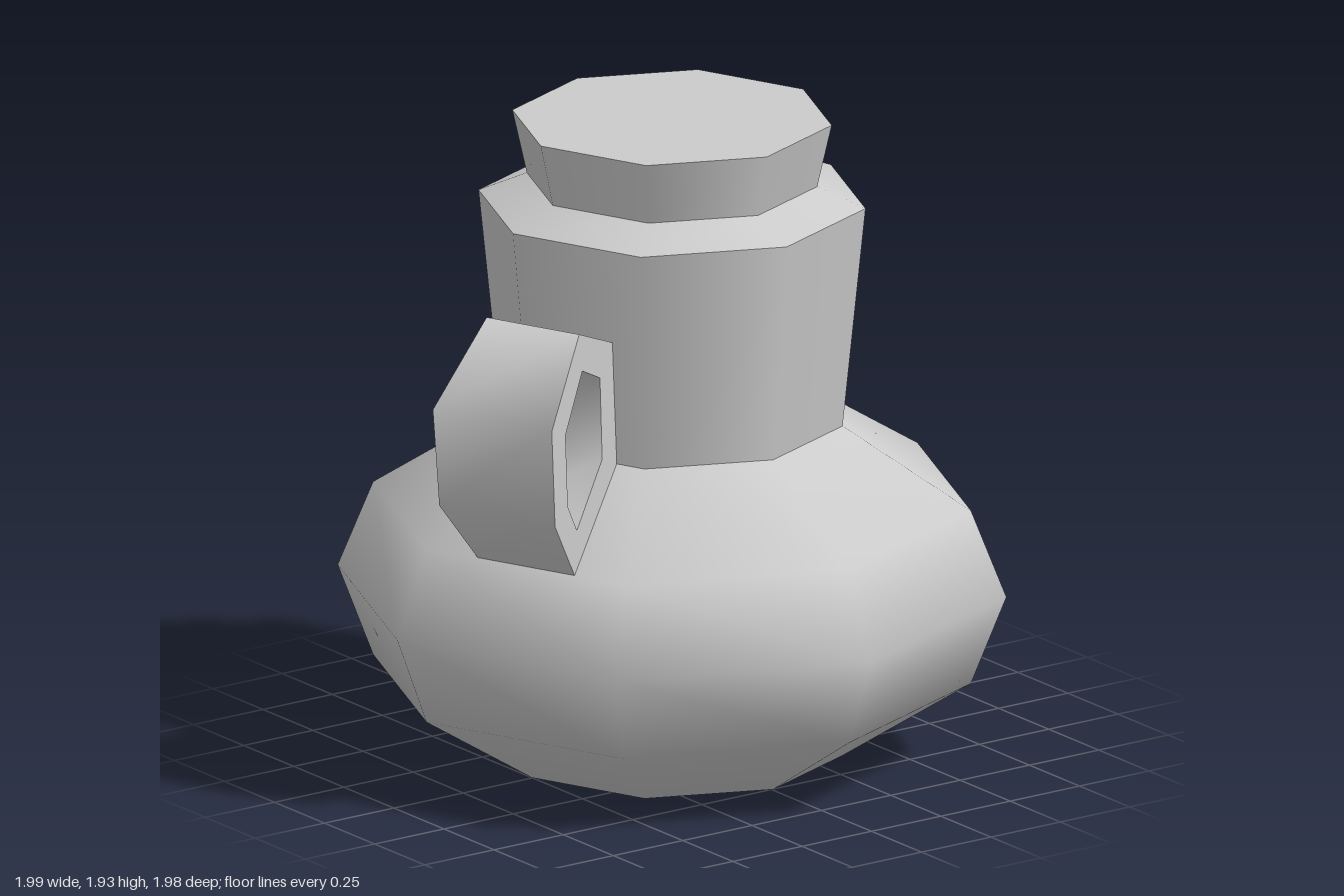
import * as THREE from 'three';
import { toCreasedNormals } from 'three/addons/utils/BufferGeometryUtils.js';

const SIDES = 8;
const v2 = (points) => points.map(([x, y]) => new THREE.Vector2(x, y));

export function createModel() {
  const model = new THREE.Group();
  const material = new THREE.MeshStandardMaterial({ color: 0xcccccc });

  const add = (name, geometry, parent) => {
    const mesh = new THREE.Mesh(geometry, material);
    mesh.name = name;
    parent.add(mesh);
    return mesh;
  };

  // Octagonal vessel, turned about its own axis
  const vessel = new THREE.Group();
  vessel.name = 'vessel';
  vessel.position.set(0.005, 0, -0.003);
  model.add(vessel);

  // Open or capped octagonal ring between two heights
  const ring = (name, rBottom, rTop, y0, y1, open) => {
    const geometry = new THREE.CylinderGeometry(rTop, rBottom, y1 - y0, SIDES, 1, open);
    add(name, geometry.translate(0, (y0 + y1) / 2, 0), vessel);
  };

  // Round belly with smooth shading
  const belly = v2([[0.505, 0], [0.885, 0.24], [0.99, 0.51], [0.885, 0.77], [0.505, 1.01]]);
  add('belly', new THREE.LatheGeometry(belly, SIDES), vessel);

  // Flat underside
  const base = new THREE.CircleGeometry(0.505, SIDES).rotateX(Math.PI / 2);
  add('base', base, vessel);

  // Neck flaring upward, sloped shoulder and stopper
  ring('neck', 0.505, 0.573, 1.01, 1.68, true);
  ring('shoulder', 0.573, 0.43, 1.68, 1.74, true);
  ring('stopper', 0.43, 0.473, 1.74, 1.93, false);

  // Handle: hexagonal loop given as (distance from axis, height)
  const loop = new THREE.Shape(v2([
    [0.77, 1.5], [0.49, 1.39], [0.455, 1.01], [0.806, 0.77], [0.969, 0.97], [0.996, 1.27],
  ]));
  loop.holes.push(new THREE.Path(v2([
    [0.744, 1.38], [0.599, 1.315], [0.581, 1.06], [0.789, 0.905], [0.864, 1.0], [0.883, 1.225],
  ])));
  let handle = new THREE.ExtrudeGeometry(loop, { depth: 1, bevelEnabled: false });

  // Widen the loop with its distance from the axis
  const pos = handle.attributes.position;
  for (let i = 0; i < pos.count; i++) {
    pos.setZ(i, (pos.getZ(i) - 0.5) * (0.4 * pos.getX(i) + 0.01));
  }
  handle = toCreasedNormals(handle, 1.2);

  // Seat it on the neck face at the front of the right side
  add('handle', handle, model).rotation.y = Math.PI * 9 / 8;

  return model;
}
